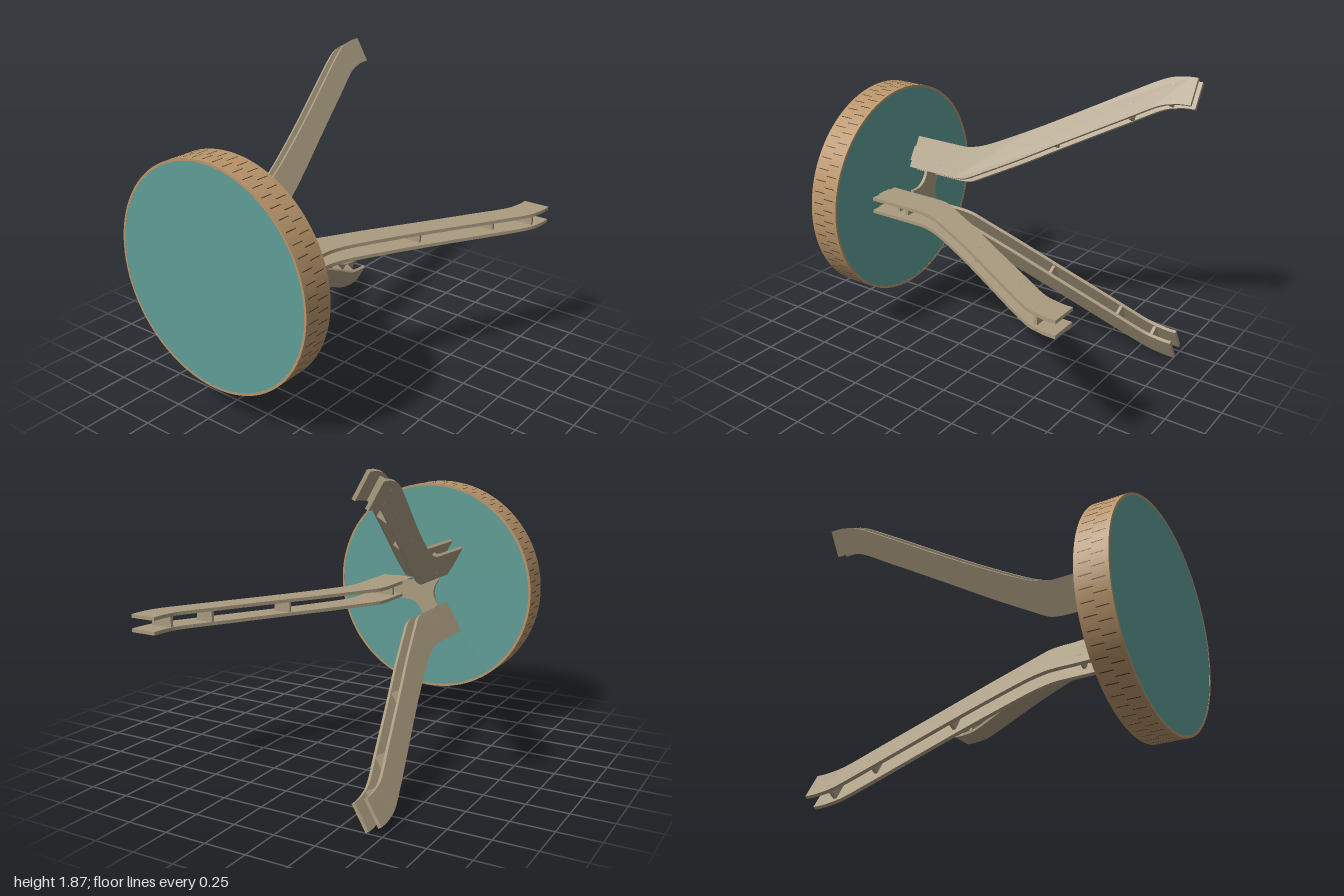
import * as THREE from 'three';
import { toCreasedNormals } from 'three/addons/utils/BufferGeometryUtils.js';

const CX = -0.175, CY = 0.935, R = 0.695;
const teal = new THREE.MeshStandardMaterial({ color: 0x5f9c95 });
const tan = new THREE.MeshStandardMaterial({ color: 0xb8946a });
const wood = new THREE.MeshStandardMaterial({ color: 0xaa9b80 });
const dark = new THREE.MeshStandardMaterial({ color: 0x4a3a26 });

function add(parent, name, geometry, material, x = 0, y = 0, z = 0) {
  const mesh = new THREE.Mesh(geometry, material);
  mesh.name = name;
  mesh.position.set(x, y, z);
  parent.add(mesh);
  return mesh;
}

// Bent leg outline; x = distance from the axis, y = depth
function legShape() {
  const v = (pts) => pts.map(([x, y]) => new THREE.Vector2(x, y));
  const s = new THREE.Shape();
  s.moveTo(0.14, 0.79);
  s.lineTo(0.355, 0.79);
  s.lineTo(0.355, 0.42);
  s.splineThru(v([[0.365, 0.35], [0.41, 0.23], [0.545, -0.02], [0.68, -0.25],
    [0.9, -0.61], [1.01, -0.8], [1.04, -0.9], [1.047, -0.96]]));
  s.lineTo(1.047, -1);
  s.lineTo(0.88, -1);
  s.lineTo(0.88, -0.96);
  s.splineThru(v([[0.872, -0.9], [0.84, -0.8], [0.725, -0.61], [0.53, -0.29],
    [0.35, 0], [0.21, 0.24], [0.155, 0.34], [0.14, 0.42]]));
  s.closePath();
  return s;
}

function createLeg(name) {
  const leg = new THREE.Group();
  leg.name = name;
  const t = 0.021, off = 0.0425;
  const plate = toCreasedNormals(
    new THREE.ExtrudeGeometry(legShape(), { depth: t, bevelEnabled: false, curveSegments: 40 })
      .rotateX(Math.PI / 2).translate(0, t / 2, 0), 0.5);
  for (const side of [-1, 1]) {
    add(leg, 'legPlate', plate, wood, 0, side * off, 0);
    // Tenon that enters the drum
    add(leg, 'drumTenon', new THREE.BoxGeometry(0.1, t, 0.03), wood, 0.235, side * off, 0.795);
  }
  // Spacers between the plates: depth, inner and outer distance
  const spacers = [[0.56, 0.17, 0.3], [-0.2, 0.49, 0.6], [-0.64, 0.745, 0.855], [-0.86, 0.87, 1.01]];
  for (const [z, a, b] of spacers) {
    add(leg, 'spacer', new THREE.BoxGeometry(b - a, 2 * off - t, 0.021), wood, (a + b) / 2, 0, z);
    for (const x of [a + 0.025, b - 0.025])
      add(leg, 'spacerTab', new THREE.BoxGeometry(0.02, 2 * off + t + 0.001, 0.018), wood, x, 0, z);
  }
  return leg;
}

// Three-armed plate with concave sides that ties the legs together
function hubGeometry() {
  const s = new THREE.Shape(), h = 0.032;
  const at = (r, w, a) => [r * Math.cos(a) - w * Math.sin(a), r * Math.sin(a) + w * Math.cos(a)];
  for (let i = 0; i < 3; i++) {
    const a = i * Math.PI * 2 / 3, next = a + Math.PI * 2 / 3;
    if (i === 0) s.moveTo(...at(0.28, -h, a));
    else s.lineTo(...at(0.28, -h, a));
    s.lineTo(...at(0.28, h, a));
    s.lineTo(...at(0.14, h, a));
    s.lineTo(...at(0.135, 0.065, a));
    s.quadraticCurveTo(...at(0.055, 0, a + Math.PI / 3), ...at(0.135, -0.065, next));
    s.lineTo(...at(0.14, -h, next));
  }
  s.closePath();
  return new THREE.ExtrudeGeometry(s, { depth: 0.021, bevelEnabled: false, curveSegments: 16 });
}

function createDrum() {
  const drum = new THREE.Group();
  drum.name = 'drum';
  // Hollow rim with square edges
  const ring = new THREE.Shape().absarc(0, 0, R, 0, Math.PI * 2);
  ring.holes.push(new THREE.Path().absarc(0, 0, R - 0.015, 0, Math.PI * 2, true));
  add(drum, 'rim', toCreasedNormals(
    new THREE.ExtrudeGeometry(ring, { depth: 0.2, bevelEnabled: false, curveSegments: 96 }), 0.5), tan, 0, 0, 0.8);
  // Front and back discs
  const disc = new THREE.CylinderGeometry(R - 0.0145, R - 0.0145, 0.02, 96).rotateX(Math.PI / 2);
  add(drum, 'frontDisc', disc, teal, 0, 0, 0.989);
  add(drum, 'backDisc', disc, teal, 0, 0, 0.811);
  // Two staggered rows of bending slits around the rim
  const count = 60, slit = new THREE.BoxGeometry(0.004, 0.005, 0.078);
  const slits = new THREE.Group();
  slits.name = 'rimSlits';
  for (let i = 0; i < count * 2; i++) {
    const a = (i + 0.5) * Math.PI / count;
    add(slits, 'slit', slit, dark, (R - 0.0015) * Math.cos(a), (R - 0.0015) * Math.sin(a), i % 2 ? 0.862 : 0.938)
      .rotation.z = a;
  }
  drum.add(slits);
  return drum;
}

export function createModel() {
  const model = new THREE.Group();
  model.name = 'threeLeggedStool';
  const body = new THREE.Group();
  body.name = 'stoolBody';
  body.position.set(CX, CY, 0);
  body.add(createDrum());
  ['leftLeg', 'upperLeg', 'lowerLeg'].forEach((name, i) => {
    const leg = createLeg(name);
    leg.rotation.z = i * Math.PI * 2 / 3;
    body.add(leg);
  });
  add(body, 'hubPlate', hubGeometry(), wood, 0, 0, 0.632);
  model.add(body);
  return model;
}
